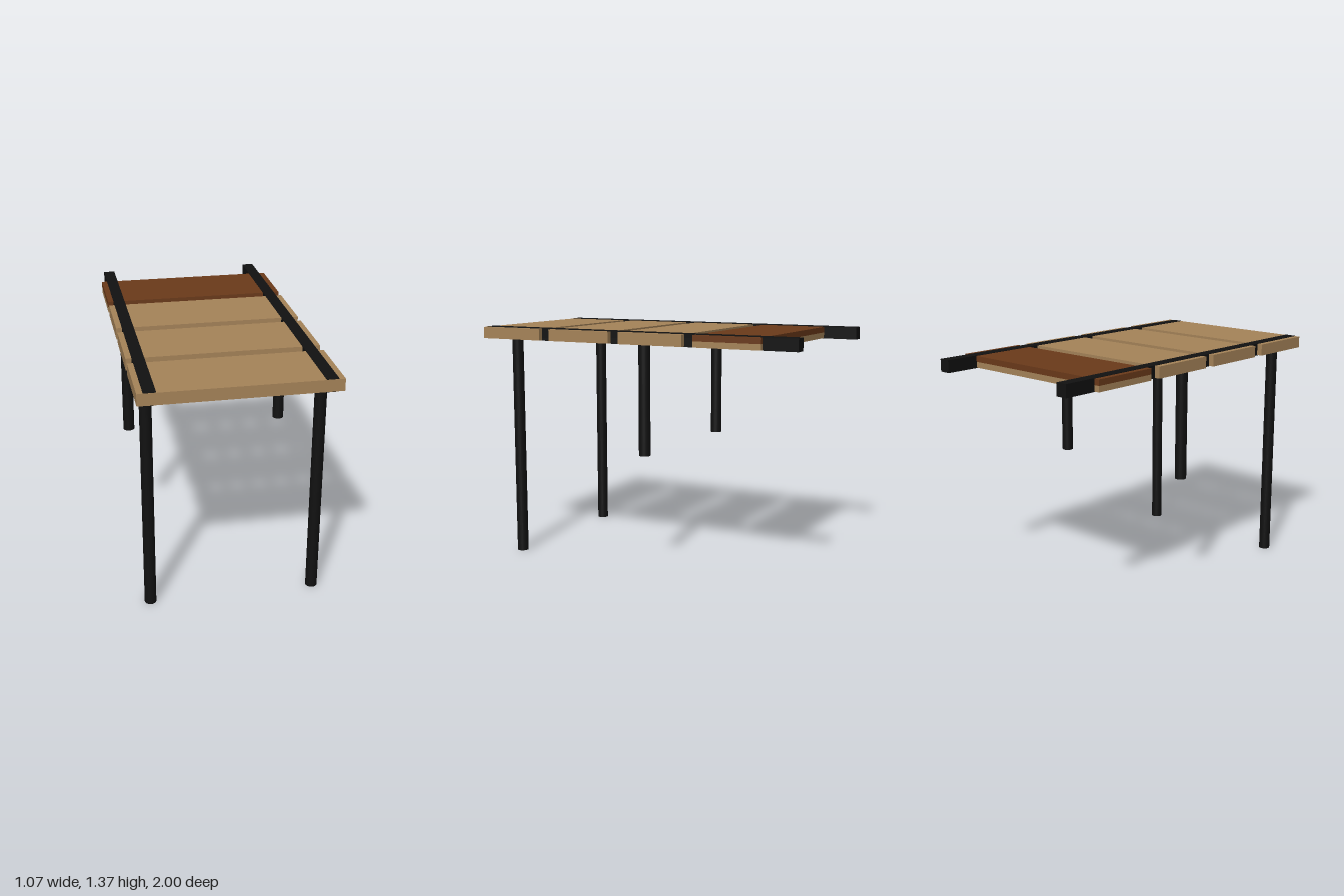
import * as THREE from 'three';

const TAN = new THREE.MeshStandardMaterial({ color: 0xa68459 });
const BROWN = new THREE.MeshStandardMaterial({ color: 0x6b3a1a });
const BLACK = new THREE.MeshStandardMaterial({ color: 0x111111 });

export function createModel() {
  const model = new THREE.Group();

  function add(name, geometry, material, x, y, z) {
    const mesh = new THREE.Mesh(geometry, material);
    mesh.name = name;
    mesh.position.set(x, y, z);
    model.add(mesh);
    return mesh;
  }

  const bottom = 1.3, thick = 0.067, width = 1.066, depth = 0.4;

  // Three plain planks, evenly spaced from the front edge
  for (let i = 0; i < 3; i++) {
    add('plank' + (i + 1), new THREE.BoxGeometry(width, thick, depth), TAN,
      0, bottom + thick / 2, 0.8 - i * 0.4667);
  }

  // Rear plank: tan underside, dark brown upper part
  const half = thick / 2;
  add('rearPlankBase', new THREE.BoxGeometry(width, half, depth), TAN, 0, bottom + half / 2, -0.6);
  add('rearPlankTop', new THREE.BoxGeometry(width, half, depth), BROWN, 0, bottom + half * 1.5, -0.6);

  for (const side of [1, -1]) {
    const label = side > 0 ? 'left' : 'right';
    const x = side * 0.467;

    // Long rails, just proud of the planks above and below
    add(label + 'Rail', new THREE.BoxGeometry(0.067, thick + 0.005, 1.998), BLACK,
      x, bottom + thick / 2, -0.001);

    // Round posts: full height in front, short behind
    for (const [name, z, foot] of [['FrontPost', 0.8, 0], ['BackPost', -0.066, 0.667]]) {
      const height = bottom - foot;
      add(label + name, new THREE.CylinderGeometry(0.033, 0.033, height, 24), BLACK,
        x, foot + height / 2, z);
    }
  }

  return model;
}
